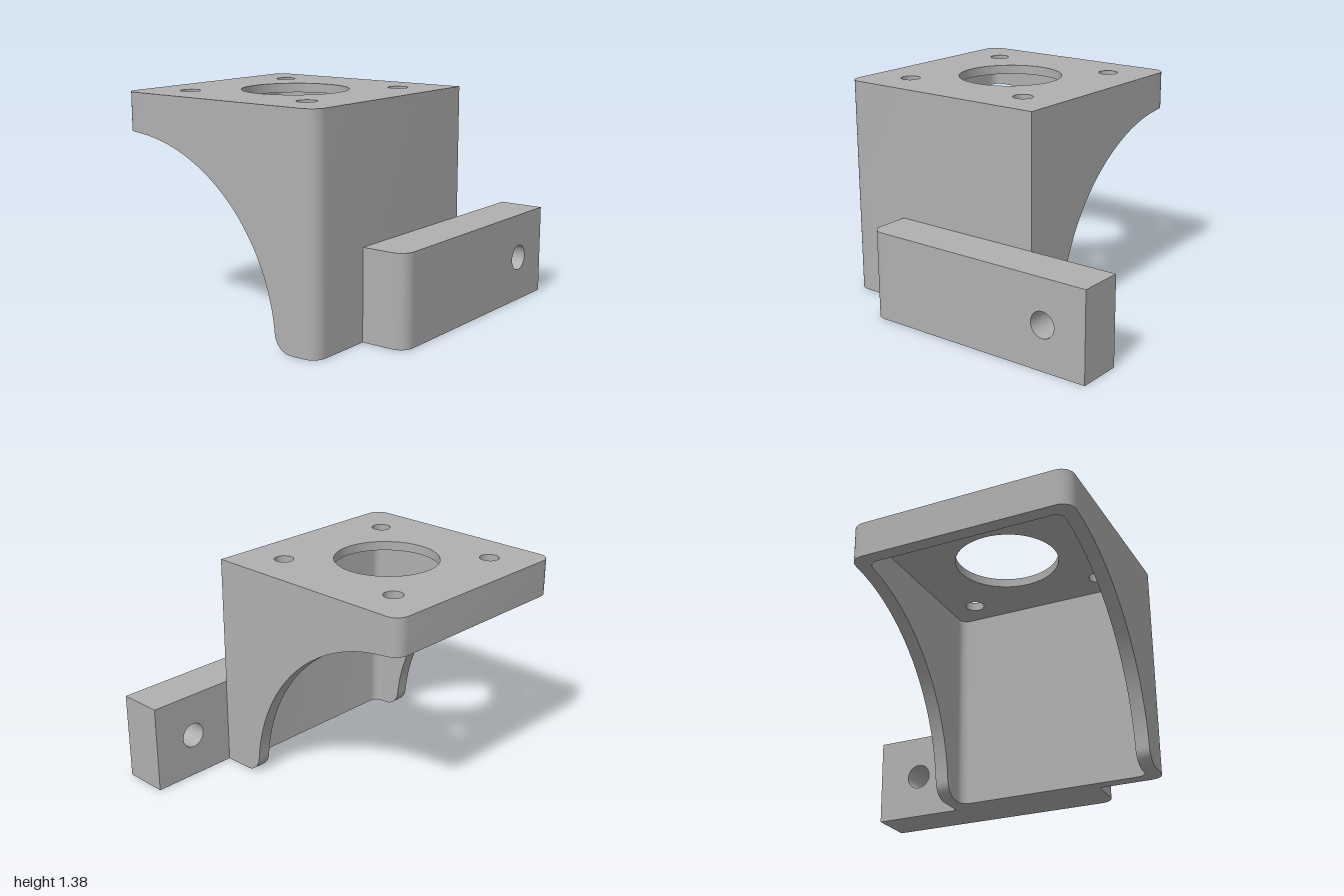
import * as THREE from 'three';
import { toCreasedNormals } from 'three/addons/utils/BufferGeometryUtils.js';

// Outer box of the housing
const X0 = -1, X1 = 0.425, Z0 = -0.857, Z1 = 0.571;
const TOP = 1.375, CEILING = 1.318, WALL = 0.086, ROUND = 0.086;
// Big quarter-circle cut through the side walls, with a small rounded foot
const CUT = 1.143, FOOT = 0.114;
const FOOT_Z = Z0 + Math.sqrt((CUT + FOOT) ** 2 - FOOT ** 2);
const MEET_Z = Z0 + (FOOT_Z - Z0) * CUT / (CUT + FOOT);

// Height of the lower edge of the walls at depth z
function lowerEdge(z) {
  if (z >= FOOT_Z) return 0;
  if (z > MEET_Z) return FOOT - Math.sqrt(Math.max(0, FOOT ** 2 - (FOOT_Z - z) ** 2));
  return Math.sqrt(Math.max(0, CUT ** 2 - (z - Z0) ** 2));
}

// Depths at which the side walls are divided
function sideDepths() {
  const list = [];
  const meet = Math.asin(FOOT / (CUT + FOOT));
  for (let i = 0; i <= 10; i++) list.push(FOOT_Z - FOOT * Math.sin((i / 10) * (Math.PI / 2 - meet)));
  for (let i = 1; i <= 48; i++) {
    const z = Z0 + CUT * Math.cos(meet + (i / 48) * (Math.PI / 2 - meet));
    if (z > Z0 + 0.16) list.push(z);
  }
  return list;
}

// Rounded plan loop, anticlockwise seen from above; r lists the corner radii
function planLoop(inset, r) {
  const a = X0 + inset, b = X1 - inset, c = Z0 + inset, d = Z1 - inset;
  const pts = [], depths = sideDepths();
  const corner = (x, z, sx, sz, rad, start) => {
    for (let i = 0; i <= 8; i++) {
      const t = start + (i / 8) * Math.PI / 2;
      pts.push([x - sx * rad + rad * Math.cos(t), z - sz * rad - rad * Math.sin(t)]);
    }
  };
  corner(b, d, 1, 1, r[0], -Math.PI / 2);
  depths.forEach(z => pts.push([b, z]));
  corner(b, c, 1, -1, r[1], 0);
  corner(a, c, -1, -1, r[2], Math.PI / 2);
  depths.slice().reverse().forEach(z => pts.push([a, z]));
  corner(a, d, -1, 1, r[3], Math.PI);
  return pts;
}

// Hollow walls: outside, inside and the curved rim below
function wallGeometry(outer, inner) {
  const pos = [];
  const low = p => [p[0], lowerEdge(p[1]), p[1]];
  const high = p => [p[0], CEILING, p[1]];
  const tri = (a, b, c) => {
    const [A, B, C] = [a, b, c].map(p => new THREE.Vector3(...p));
    if (B.sub(A).cross(C.sub(A)).length() > 1e-9) pos.push(...a, ...b, ...c);
  };
  const quad = (a, b, c, d) => { tri(a, b, c); tri(a, c, d); };
  outer.forEach((o, i) => {
    const j = (i + 1) % outer.length;
    const p = outer[j], n = inner[i], m = inner[j];
    quad(low(o), low(p), high(p), high(o));
    quad(low(m), low(n), high(n), high(m));
    quad(low(o), low(n), low(m), low(p));
  });
  const g = new THREE.BufferGeometry();
  g.setAttribute('position', new THREE.Float32BufferAttribute(pos, 3));
  return toCreasedNormals(g, 0.5);
}

function extrude(shape, depth) {
  const g = new THREE.ExtrudeGeometry(shape, { depth, bevelEnabled: false, curveSegments: 40 });
  return toCreasedNormals(g, 0.5);
}

function addHole(shape, x, y, r) {
  shape.holes.push(new THREE.Path().absarc(x, y, r, 0, Math.PI * 2, true));
}

export function createModel() {
  const group = new THREE.Group();
  const grey = new THREE.MeshStandardMaterial({ color: 0xb0b0b0 });
  grey.name = 'grey';
  const add = (name, geometry) => {
    const mesh = new THREE.Mesh(geometry, grey);
    mesh.name = name;
    group.add(mesh);
    return mesh;
  };

  // Housing walls; the front left outer corner stays sharp
  const outer = planLoop(0, [0, ROUND, ROUND, ROUND]);
  const inner = planLoop(WALL, [0.057, 0.057, 0.057, 0.057]);
  add('housingWalls', wallGeometry(outer, inner));

  // Top plate with the large bore and four screw holes
  const plate = new THREE.Shape(outer.slice(8).map(p => new THREE.Vector2(p[0], -p[1])));
  const cx = (X0 + X1) / 2, cz = (Z0 + Z1) / 2;
  addHole(plate, cx, -cz, 0.324);
  for (const sx of [-1, 1]) for (const sz of [-1, 1]) {
    addHole(plate, cx + sx * 0.443, -cz + sz * 0.443, 0.06);
  }
  const top = add('topPlate', extrude(plate, TOP - CEILING));
  top.rotation.x = -Math.PI / 2;
  top.position.y = CEILING;

  // Mounting bar: inner length with one rounded upright edge
  const barX = -0.572, barMid = 0.45, barH = 0.557, barZ = 0.857;
  const plan = new THREE.Shape();
  plan.moveTo(barX, -Z1);
  plan.lineTo(barX, -barZ + ROUND);
  plan.absarc(barX + ROUND, -barZ + ROUND, ROUND, Math.PI, Math.PI * 1.5, false);
  plan.lineTo(barMid, -barZ);
  plan.lineTo(barMid, -Z1);
  const bar = add('mountingBar', extrude(plan, barH));
  bar.rotation.x = -Math.PI / 2;

  // Mounting bar: free end with the bolt hole
  const end = new THREE.Shape();
  end.moveTo(barMid, 0);
  end.lineTo(1, 0);
  end.lineTo(1, barH);
  end.lineTo(barMid, barH);
  end.closePath();
  addHole(end, 0.714, 0.279, 0.08);
  add('mountingBarEnd', extrude(end, barZ - Z1)).position.z = Z1;

  return group;
}
